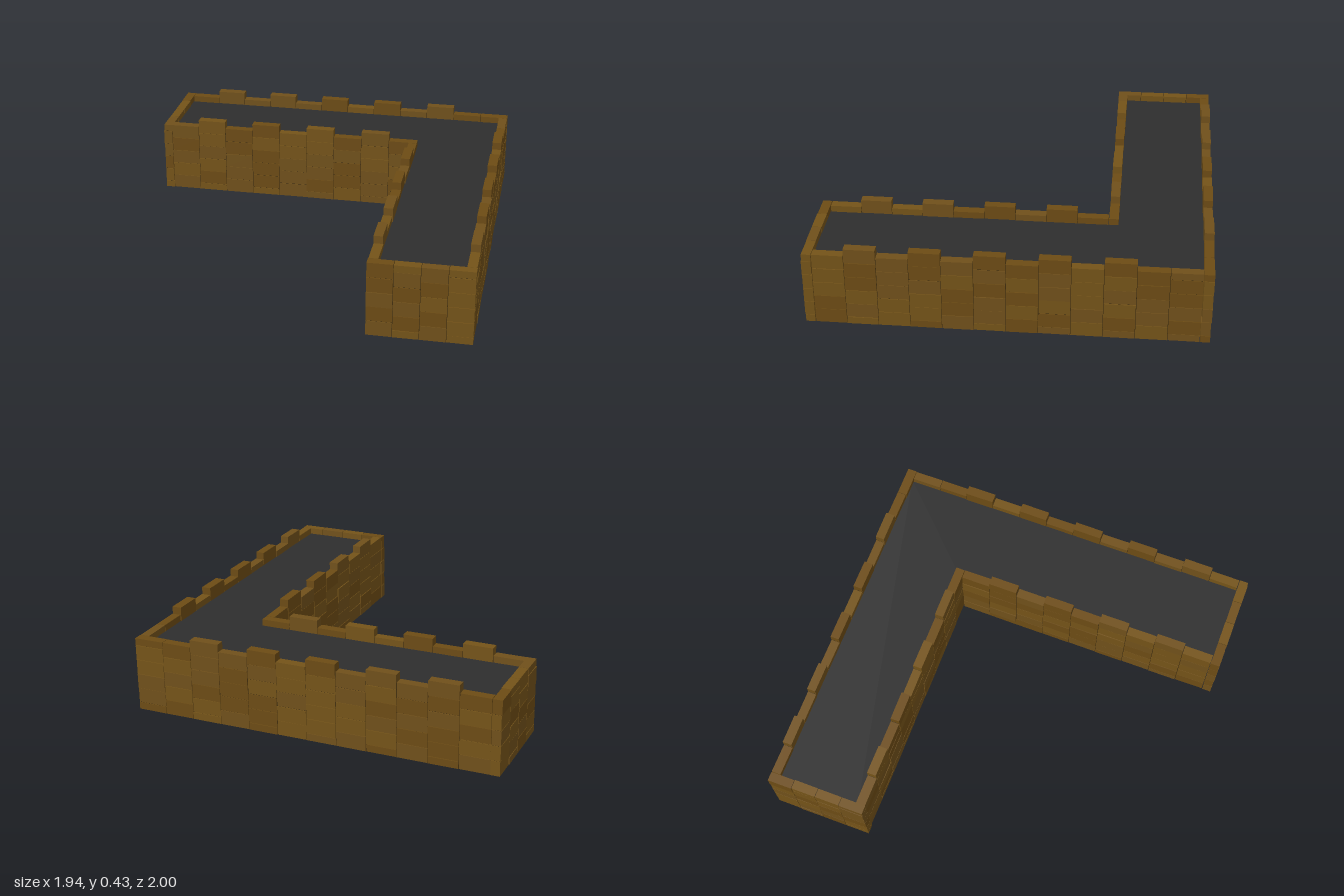
import * as THREE from 'three';
import { mergeGeometries } from 'three/addons/utils/BufferGeometryUtils.js';

const T = 0.052;      // wall thickness
const ROW = 0.0785;   // brick height
const ROWS = 5;
const GAP = 0.0025;   // joint between bricks

const tones = [0x70501a, 0x6c4b14, 0x745318].map(
  (color) => new THREE.MeshStandardMaterial({ color, flatShading: true }));
const mortar = new THREE.MeshStandardMaterial({ color: 0x35260c });
const soilMaterial = new THREE.MeshStandardMaterial({ color: 0x2d2d2d, side: THREE.DoubleSide });

let seed = 7;
const rand = () => {
  seed = (seed * 16807) % 2147483647;
  return seed / 2147483647;
};
const jitter = (amount) => (rand() - 0.5) * 2 * amount;

// A wall along x from (a, across) or along z, with alternate columns raised by half a brick.
function buildWall({ name, axis, from, to, across, columns, raised }) {
  const wall = new THREE.Group();
  wall.name = name;
  const step = (to - from) / columns;
  const height = ROW * ROWS;
  const batches = tones.map(() => []);

  const addBrick = (col, y0, y1) => {
    const brick = new THREE.BoxGeometry(Math.abs(step) - GAP, y1 - y0 - GAP, T - 0.004 + jitter(0.002));
    brick.rotateY(jitter(0.008));
    brick.translate(0, (y0 + y1) / 2, jitter(0.0015));
    if (axis === 'z') brick.rotateY(Math.PI / 2);
    const along = from + step * (col + 0.5);
    brick.translate(axis === 'x' ? along : across, 0, axis === 'x' ? across : along);
    batches[Math.floor(rand() * tones.length)].push(brick);
  };

  for (let col = 0; col < columns; col++) {
    if (col % 2 === 0) {
      for (let r = 0; r < ROWS; r++) addBrick(col, r * ROW, (r + 1) * ROW);
    } else {
      addBrick(col, 0, ROW / 2);
      for (let r = 0; r < ROWS; r++) {
        const top = (r + 1.5) * ROW;
        // Columns without a merlon are cut level with the rim.
        addBrick(col, (r + 0.5) * ROW, raised.includes(col) ? top : Math.min(top, height));
      }
    }
  }

  batches.forEach((batch, i) => {
    if (!batch.length) return;
    const mesh = new THREE.Mesh(mergeGeometries(batch), tones[i]);
    mesh.name = 'bricks' + (i + 1);
    wall.add(mesh);
  });

  // Dark joints behind the brick faces
  const length = Math.abs(to - from) - 0.01;
  const core = new THREE.BoxGeometry(axis === 'x' ? length : T * 0.75, height - 0.01, axis === 'z' ? length : T * 0.75);
  const joints = new THREE.Mesh(core, mortar);
  joints.name = 'joints';
  const mid = (from + to) / 2;
  joints.position.set(axis === 'x' ? mid : across, height / 2, axis === 'x' ? across : mid);
  wall.add(joints);
  return wall;
}

export function createModel() {
  seed = 7;
  const model = new THREE.Group();
  model.name = 'cornerPlanter';

  // Six walls around the L-shaped outline
  const h = T / 2;
  const walls = [
    { name: 'backWall', axis: 'x', from: -0.922, to: 0.972, across: -1 + h, columns: 12, raised: [1, 3, 5, 7, 9] },
    { name: 'leftWall', axis: 'z', from: 0.948, to: -0.948, across: 0.972 - h, columns: 12, raised: [1, 3, 5, 7, 9] },
    { name: 'innerFrontWall', axis: 'x', from: -0.922, to: 0.5, across: -0.475 - h, columns: 9, raised: [1, 3, 5, 7] },
    { name: 'innerRightWall', axis: 'z', from: 0.948, to: -0.475, across: 0.45 + h, columns: 9, raised: [1, 3, 5, 7] },
    { name: 'frontEndWall', axis: 'x', from: 0.45, to: 0.972, across: 1 - h, columns: 4, raised: [] },
    { name: 'rightEndWall', axis: 'z', from: -1, to: -0.472, across: -0.972 + h, columns: 4, raised: [] },
  ];
  walls.forEach((w) => model.add(buildWall(w)));

  // Soil sheet just below the rim (shape y becomes -z)
  const outline = [[-0.93, 0.96], [0.93, 0.96], [0.93, -0.96], [0.49, -0.96], [0.49, 0.515], [-0.93, 0.515]];
  const shape = new THREE.Shape(outline.map(([x, y]) => new THREE.Vector2(x, y)));
  const soil = new THREE.Mesh(new THREE.ShapeGeometry(shape), soilMaterial);
  soil.name = 'soil';
  soil.rotation.x = -Math.PI / 2;
  soil.position.y = 0.357;
  model.add(soil);

  return model;
}
